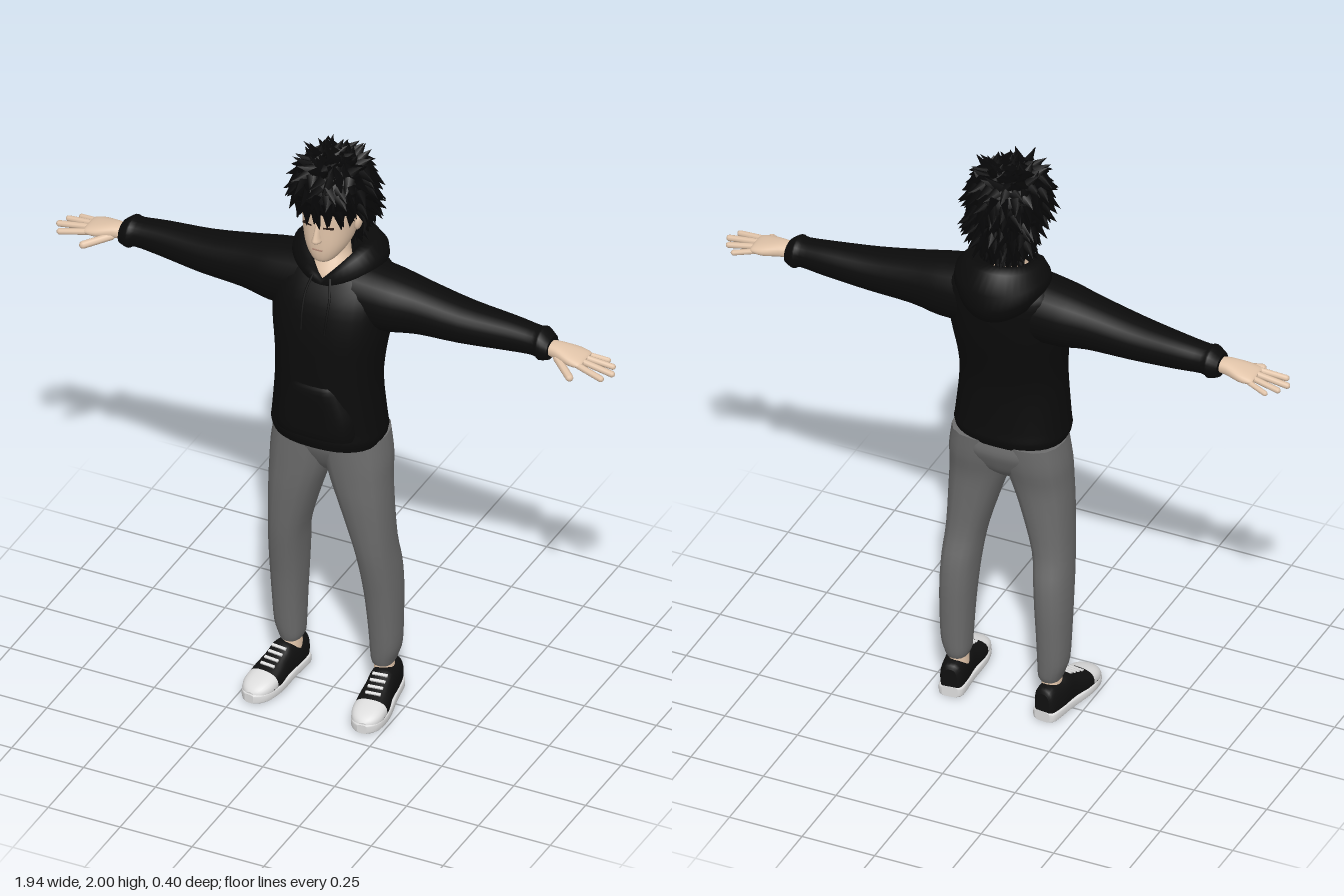
import * as THREE from 'three';
import { mergeGeometries } from 'three/addons/utils/BufferGeometryUtils.js';

const material = (name, color) => Object.assign(new THREE.MeshStandardMaterial({ color }), { name });

// Skin closed rings of points into a smooth surface, with optional flat end caps
function skin(rows, caps = true) {
  const n = rows[0].length, pos = rows.flat(2), idx = [];
  for (let r = 0; r < rows.length - 1; r++) {
    for (let i = 0; i < n; i++) {
      const a = r * n + i, b = r * n + (i + 1) % n;
      idx.push(a, b, b + n, a, b + n, a + n);
    }
  }
  if (caps) {
    [rows[0], rows[rows.length - 1]].forEach((ring, end) => {
      const base = pos.length / 3;
      pos.push(...ring.flat());
      pos.push(...[0, 1, 2].map((k) => ring.reduce((s, p) => s + p[k], 0) / n));
      for (let i = 0; i < n; i++) {
        const a = base + i, b = base + (i + 1) % n;
        idx.push(base + n, ...(end ? [a, b] : [b, a]));
      }
    });
  }
  const g = new THREE.BufferGeometry();
  g.setAttribute('position', new THREE.Float32BufferAttribute(pos, 3));
  g.setIndex(idx);
  g.computeVertexNormals();
  return g;
}

// Loft superellipse sections [t, a0, a1, b0, b1] along an axis.
// Axis x uses (y, z) extents, y uses (z, x), z uses (x, y); a lone last number means +-b.
function loft(axis, sections, { seg = 24, p = 2, sub = 3 } = {}) {
  const full = sections.map((s) => (s.length === 4 ? [s[0], s[1], s[2], -s[3], s[3]] : s));
  const at = (i) => full[Math.max(0, Math.min(full.length - 1, i))];
  const cat = (a, b, c, d, t) =>
    b + 0.5 * t * (c - a + t * (2 * a - 5 * b + 4 * c - d + t * (3 * (b - c) + d - a)));
  const steps = [];
  for (let i = 0; i < full.length - 1; i++) {
    for (let k = 0; k < sub; k++) {
      steps.push(at(i).map((v, j) => cat(at(i - 1)[j], v, at(i + 1)[j], at(i + 2)[j], k / sub)));
    }
  }
  steps.push(at(full.length - 1));
  const pw = (v) => Math.sign(v) * Math.abs(v) ** (2 / p);
  return skin(steps.map(([t, a0, a1, b0, b1]) => Array.from({ length: seg }, (_, i) => {
    const th = (i / seg) * Math.PI * 2;
    const a = (a0 + a1) / 2 + ((a1 - a0) / 2) * pw(Math.cos(th));
    const b = (b0 + b1) / 2 + ((b1 - b0) / 2) * pw(Math.sin(th));
    return axis === 'x' ? [t, a, b] : axis === 'y' ? [b, t, a] : [a, b, t];
  })));
}

// Rounded rod between two points
function rod(from, to, r) {
  const a = new THREE.Vector3(...from), d = new THREE.Vector3(...to).sub(a), len = d.length();
  const q = new THREE.Quaternion().setFromUnitVectors(new THREE.Vector3(0, 1, 0), d.normalize());
  return new THREE.CapsuleGeometry(r, len, 4, 8).translate(0, len / 2, 0)
    .applyQuaternion(q).translate(...from);
}

function mirrored(geometry) {
  const g = geometry.clone().scale(-1, 1, 1), ix = g.index.array;
  for (let i = 0; i < ix.length; i += 3) [ix[i], ix[i + 1]] = [ix[i + 1], ix[i]];
  return g;
}

export function createModel() {
  const model = new THREE.Group();
  const skinTone = material('skin', 0xe2c5aa), cloth = material('black cloth', 0x0b0b0b);
  const hairMat = material('hair', 0x070708), grey = material('grey trousers', 0x6c6c6c);
  const white = material('white rubber', 0xdcdcdc), shoeBlack = material('black canvas', 0x101010);
  const lip = material('lip', 0xb08a78), dark = material('dark brown', 0x2a1c16);
  const add = (name, geo, mat) => {
    const m = new THREE.Mesh(geo, mat);
    m.name = name;
    model.add(m);
  };
  const pair = (name, geo, mat) => {
    add(name + 'Left', geo, mat);
    add(name + 'Right', mirrored(geo), mat);
  };

  // Hooded top: body, sleeves, pocket, hood, cords
  add('topBody', loft('y', [[0.99, -0.108, 0.152, 0.178], [1.02, -0.118, 0.162, 0.187],
    [1.06, -0.113, 0.16, 0.183], [1.2, -0.105, 0.16, 0.171], [1.3, -0.12, 0.156, 0.176],
    [1.4, -0.14, 0.148, 0.19], [1.5, -0.15, 0.125, 0.195], [1.57, -0.148, 0.085, 0.185],
    [1.605, -0.13, 0.055, 0.15], [1.625, -0.1, 0.035, 0.1]], { seg: 32, p: 2.4 }), cloth);
  pair('sleeve', loft('x', [[0.08, 1.4, 1.62, -0.13, 0.09], [0.2, 1.4, 1.603, -0.125, 0.08],
    [0.3, 1.415, 1.583, -0.112, 0.062], [0.45, 1.42, 1.555, -0.102, 0.045],
    [0.6, 1.43, 1.54, -0.093, 0.022], [0.69, 1.437, 1.53, -0.085, 0.014],
    [0.715, 1.427, 1.533, -0.09, 0.02], [0.745, 1.437, 1.51, -0.076, 0.01]], { p: 2.2 }), cloth);
  add('pocket', loft('y', [[1.035, 0, 0.168, 0.14], [1.06, 0, 0.173, 0.142], [1.12, 0, 0.172, 0.135],
    [1.2, 0, 0.17, 0.1], [1.225, 0, 0.162, 0.09]], { p: 3 }), cloth);
  // Hood rows: [half width, front z, back z, front y, side y, back y]
  const hoodRows = [[0.12, 0.05, -0.14, 1.53, 1.54, 1.5], [0.147, 0.083, -0.185, 1.54, 1.58, 1.515],
    [0.155, 0.09, -0.2, 1.555, 1.615, 1.56], [0.15, 0.09, -0.2, 1.565, 1.64, 1.62],
    [0.12, 0.088, -0.165, 1.575, 1.672, 1.685], [0.088, 0.078, -0.12, 1.58, 1.677, 1.687],
    [0.066, 0.058, -0.075, 1.575, 1.63, 1.64], [0.05, 0.03, -0.05, 1.55, 1.59, 1.6]];
  add('hood', skin(hoodRows.map(([rx, zf, zb, yf, ys, yb]) => Array.from({ length: 40 }, (_, i) => {
    const th = (i / 40) * Math.PI * 2, c = Math.cos(th), s = Math.sin(th);
    const y = c > 0 ? ys + (yf - ys) * (1 - Math.abs(s)) : ys + (yb - ys) * c * c;
    return [rx * s, y, (zf + zb) / 2 + ((zf - zb) / 2) * c];
  })), false), cloth);
  pair('cord', new THREE.TubeGeometry(new THREE.CatmullRomCurve3([[0.03, 1.59, 0.085],
    [0.042, 1.54, 0.112], [0.043, 1.48, 0.134], [0.04, 1.42, 0.148]]
    .map((p) => new THREE.Vector3(...p))), 10, 0.004, 6), cloth);

  // Hands
  const fingers = [[[0.85, 1.46, -0.066], [0.915, 1.446, -0.083], 0.009],
    [[0.85, 1.463, -0.043], [0.945, 1.448, -0.053], 0.01],
    [[0.85, 1.464, -0.019], [0.96, 1.447, -0.016], 0.0105],
    [[0.85, 1.462, 0.006], [0.94, 1.446, 0.022], 0.0105],
    [[0.775, 1.46, -0.005], [0.845, 1.44, 0.05], 0.013]];
  pair('hand', mergeGeometries([loft('x', [[0.73, 1.452, 1.495, -0.058, -0.004],
    [0.77, 1.45, 1.497, -0.064, 0.004], [0.82, 1.446, 1.487, -0.078, 0.018],
    [0.855, 1.45, 1.477, -0.077, 0.018], [0.865, 1.456, 1.47, -0.07, 0.01]], { p: 2.4 })
    .deleteAttribute('uv'), ...fingers.map((f) => rod(...f).deleteAttribute('uv'))]), skinTone);

  // Trousers
  pair('trouserLeg', loft('y', [[0.13, -0.083, 0.008, 0.127, 0.193], [0.15, -0.09, 0.014, 0.121, 0.2],
    [0.2, -0.095, 0.022, 0.118, 0.214], [0.3, -0.101, 0.035, 0.114, 0.218],
    [0.4, -0.105, 0.05, 0.108, 0.219], [0.5, -0.1, 0.07, 0.1, 0.216], [0.6, -0.08, 0.088, 0.085, 0.21],
    [0.75, -0.08, 0.105, 0.04, 0.205], [0.84, -0.085, 0.11, 0.008, 0.201],
    [0.92, -0.102, 0.113, -0.015, 0.198], [1.0, -0.11, 0.115, -0.03, 0.186]], { seg: 16, p: 2.4 }), grey);
  add('trouserSeat', loft('y', [[0.85, -0.05, 0.05, 0.04], [0.88, -0.08, 0.075, 0.1],
    [0.92, -0.1, 0.097, 0.16], [0.96, -0.113, 0.112, 0.188], [1.0, -0.108, 0.115, 0.184]],
  { p: 2.4 }), grey);

  // Shoes, turned slightly outward
  const place = (g) => g.rotateY(0.12).translate(0.168, 0, -0.035);
  pair('ankle', loft('y', [[0.08, -0.075, 0.005, 0.128, 0.193], [0.16, -0.07, -0.003, 0.13, 0.19]]), skinTone);
  pair('sole', place(loft('z', [[-0.072, -0.026, 0.026, 0, 0.036], [-0.055, -0.042, 0.042, 0, 0.036],
    [0.03, -0.047, 0.047, 0, 0.034], [0.13, -0.058, 0.058, 0, 0.034], [0.19, -0.052, 0.052, 0, 0.035],
    [0.22, -0.036, 0.036, 0, 0.034], [0.235, -0.016, 0.016, 0.002, 0.032]], { p: 5 })), white);
  pair('shoeUpper', place(loft('z', [[-0.07, -0.024, 0.024, 0.005, 0.1], [-0.055, -0.037, 0.037, 0.005, 0.117],
    [0, -0.043, 0.043, 0.005, 0.118], [0.04, -0.044, 0.044, 0.005, 0.122], [0.075, -0.046, 0.046, 0.005, 0.105],
    [0.12, -0.053, 0.053, 0.005, 0.085], [0.17, -0.054, 0.054, 0.005, 0.068]], { p: 2.6 })), shoeBlack);
  pair('toeCap', place(loft('z', [[0.15, -0.055, 0.055, 0.005, 0.076], [0.18, -0.053, 0.053, 0.005, 0.068],
    [0.205, -0.044, 0.044, 0.005, 0.058], [0.222, -0.03, 0.03, 0.005, 0.047],
    [0.23, -0.015, 0.015, 0.01, 0.038]], { p: 2.4 })), white);
  for (let i = 0; i < 4; i++) {
    const z = 0.062 + i * 0.022;
    pair('lace' + (i + 1), place(new THREE.BoxGeometry(0.05, 0.006, 0.009).rotateX(0.42)
      .translate(0, 0.114 - i * 0.0098, z)), white);
  }

  // Neck, head and face
  add('neck', loft('y', [[1.52, -0.05, 0.07, 0.06], [1.58, -0.06, 0.078, 0.068], [1.62, -0.06, 0.058, 0.06],
    [1.66, -0.062, 0.035, 0.05], [1.74, -0.065, 0.03, 0.05]]), skinTone);
  add('head', loft('y', [[1.652, 0.045, 0.09, 0.02], [1.662, 0.0, 0.104, 0.038], [1.69, -0.05, 0.112, 0.06],
    [1.73, -0.075, 0.115, 0.076], [1.79, -0.1, 0.116, 0.085], [1.86, -0.11, 0.115, 0.09],
    [1.92, -0.1, 0.1, 0.08], [1.96, -0.06, 0.06, 0.05]], { p: 2.3 }), skinTone);
  add('nose', loft('y', [[1.735, 0.09, 0.122, 0.012], [1.745, 0.09, 0.139, 0.016], [1.76, 0.09, 0.136, 0.012],
    [1.8, 0.09, 0.121, 0.007]], { seg: 12 }), skinTone);
  pair('ear', new THREE.SphereGeometry(1, 12, 8).scale(0.012, 0.032, 0.02).rotateZ(-0.15)
    .translate(0.088, 1.775, 0), skinTone);
  pair('eyeLine', new THREE.BoxGeometry(0.034, 0.005, 0.008).rotateY(0.22).translate(0.036, 1.795, 0.108), dark);
  add('mouth', new THREE.BoxGeometry(0.034, 0.004, 0.006).translate(0, 1.708, 0.113), lip);

  // Hair: a cap with pointed locks growing from its surface
  const cap = loft('y', [[1.7, -0.085, -0.03, 0.055], [1.75, -0.112, -0.025, 0.085],
    [1.8, -0.128, 0.0, 0.104], [1.835, -0.134, 0.112, 0.112], [1.88, -0.136, 0.125, 0.12],
    [1.93, -0.122, 0.11, 0.11], [1.965, -0.088, 0.075, 0.08], [1.982, -0.04, 0.03, 0.035]],
  { seg: 20, sub: 2 });
  add('hairCap', cap, hairMat);
  let seed = 7;
  const rand = () => (seed = (seed * 16807) % 2147483647) / 2147483647;
  const P = cap.attributes.position, N = cap.attributes.normal, locks = [];
  for (let i = 0; i < 15 * 20; i++) {
    const p = new THREE.Vector3().fromBufferAttribute(P, i);
    const n = new THREE.Vector3().fromBufferAttribute(N, i);
    if (p.y < 1.833 && p.z > 0.0) continue;
    const fringe = p.z > 0.06 && p.y < 1.9;
    const dir = n.clone().multiplyScalar(fringe ? 0.22 : 0.55);
    dir.x += (rand() - 0.5) * 0.7;
    dir.y -= fringe ? 0.8 : p.y > 1.95 ? 0.15 : 0.6;
    dir.z += (rand() - 0.5) * (fringe ? 0.1 : 0.6);
    const len = (fringe ? 0.045 : 0.05) + rand() * 0.02;
    const lock = new THREE.ConeGeometry(0.02, len, 4, 1).translate(0, len / 2 - 0.01, 0)
      .applyQuaternion(new THREE.Quaternion().setFromUnitVectors(new THREE.Vector3(0, 1, 0), dir.normalize()))
      .translate(p.x, p.y, p.z);
    const L = lock.attributes.position;
    for (let k = 0; k < L.count; k++) {
      L.setY(k, Math.min(L.getY(k), 2));
      L.setZ(k, Math.min(L.getZ(k), 0.148));
    }
    locks.push(lock);
  }
  add('hairLocks', mergeGeometries(locks), hairMat);
  return model;
}
